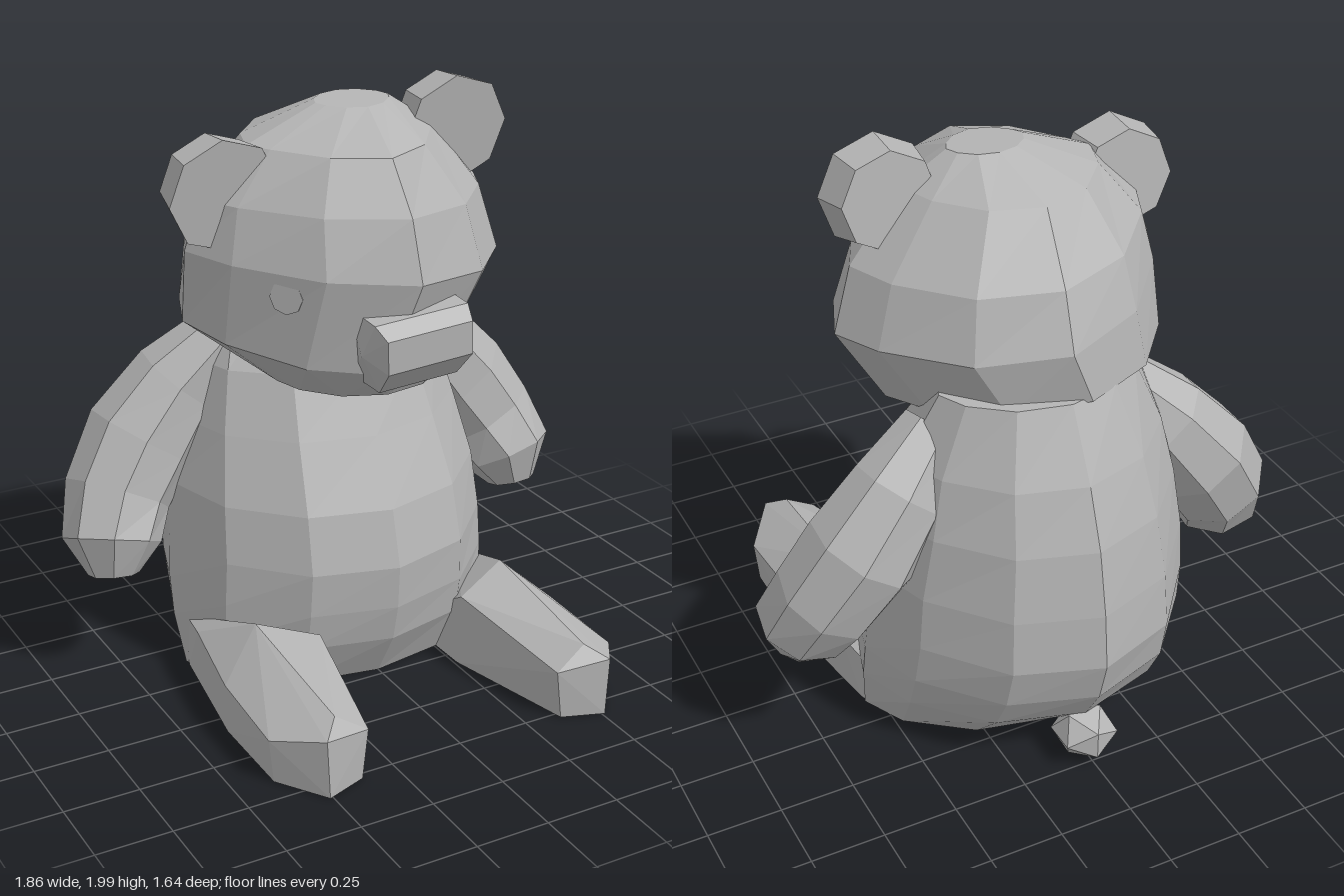
import * as THREE from 'three';
import { ConvexGeometry } from 'three/addons/geometries/ConvexGeometry.js';

const V = (x, y, z) => new THREE.Vector3(x, y, z);

// Skin a list of closed rings (counterclockwise about the travel direction) and cap both ends
function loft(rings) {
  const n = rings[0].length, pos = [];
  const tri = (a, b, c) => [a, b, c].forEach(p => pos.push(p.x, p.y, p.z));
  const mid = r => r.reduce((m, p) => m.addScaledVector(p, 1 / n), V(0, 0, 0));
  for (let i = 0; i < rings.length - 1; i++) {
    for (let j = 0; j < n; j++) {
      const k = (j + 1) % n, a = rings[i], b = rings[i + 1];
      tri(a[j], a[k], b[k]);
      tri(a[j], b[k], b[j]);
    }
  }
  const first = rings[0], last = rings[rings.length - 1], c0 = mid(first), c1 = mid(last);
  for (let j = 0; j < n; j++) {
    const k = (j + 1) % n;
    tri(c0, first[k], first[j]);
    tri(c1, last[j], last[k]);
  }
  const g = new THREE.BufferGeometry();
  g.setAttribute('position', new THREE.Float32BufferAttribute(pos, 3));
  g.computeVertexNormals();
  return g;
}

// Oval ring: front and back heights and depths, half width, front and back pointedness, centre x, side tilt
function oval(yFront, zFront, yBack, zBack, halfWidth, pFront, pBack, cx = 0, tilt = 0) {
  return Array.from({ length: 12 }, (_, j) => {
    const a = j * Math.PI / 6, c = Math.cos(a), x = halfWidth * Math.sin(a);
    const t = (Math.sign(c) * Math.pow(Math.abs(c), c > 0 ? pFront : pBack) + 1) / 2;
    return V(cx + x, yBack + (yFront - yBack) * t + tilt * x, zBack + (zFront - zBack) * t);
  });
}

// Eight-sided limb along a path of [x, y, z, radius]
function limb(path, side) {
  const c = path.map(p => V(p[0] * side, p[1], p[2]));
  return loft(c.map((p, i) => {
    const t = c[Math.min(i + 1, c.length - 1)].clone().sub(c[Math.max(i - 1, 0)]).normalize();
    const u = t.clone().cross(V(0, 0, 1)).normalize(), v = t.clone().cross(u);
    return Array.from({ length: 8 }, (_, j) => {
      const a = (j + 0.5) * Math.PI / 4;
      return p.clone().addScaledVector(u, path[i][3] * Math.cos(a)).addScaledVector(v, path[i][3] * Math.sin(a));
    });
  }));
}

export function createModel() {
  const model = new THREE.Group();
  model.name = 'teddyBear';
  const plush = new THREE.MeshStandardMaterial({ color: 0xb4b4b4, flatShading: true });
  plush.name = 'grey plush';
  const add = (name, geometry) => {
    const mesh = new THREE.Mesh(geometry, plush);
    mesh.name = name;
    model.add(mesh);
    return mesh;
  };

  // Torso: height, front depth, back depth, half width
  add('torso', loft([
    [0, 0.22, -0.51, 0.55],
    [0.17, 0.32, -0.7, 0.57],
    [0.3, 0.35, -0.78, 0.57],
    [0.45, 0.36, -0.82, 0.56],
    [0.64, 0.31, -0.8, 0.545],
    [0.86, 0.2, -0.755, 0.5],
    [1.06, 0.1, -0.68, 0.45],
    [1.29, -0.1, -0.56, 0.34],
  ].map(([y, f, b, w]) => oval(y, f, y, b, w, 1, 1.3))));

  // Head: wedge-shaped face and a ridge down the back, slightly lower on its left
  add('head', loft([
    oval(1.03, 0.27, 1.08, -0.1, 0.3, 1.3, 1.2, 0, -0.05),
    oval(1.15, 0.39, 1.28, -0.56, 0.48, 1.4, 1.5, -0.07, -0.1),
    oval(1.46, 0.48, 1.46, -0.56, 0.555, 1.5, 1.65, 0, -0.09),
    oval(1.66, 0.43, 1.64, -0.48, 0.5, 1.7, 1.5, -0.01, -0.05),
    oval(1.83, 0.34, 1.84, -0.32, 0.33, 2.1, 1.3, -0.03, 0),
    oval(1.93, 0.1, 1.94, -0.11, 0.13, 1.5, 1.2, 0.02, 0),
  ]));

  // Muzzle: half of its corners, mirrored, leaning to one side
  const muzzle = add('muzzle', new ConvexGeometry([
    [0.165, 0.11, 0.47], [0.15, 0.07, 0.52], [0.15, -0.04, 0.515], [0.19, 0, 0.42],
    [0.14, -0.13, 0.43], [0.165, 0.12, 0.3], [0.14, -0.13, 0.25],
  ].flatMap(([x, y, z]) => [V(x, y, z), V(-x, y, z)])));
  muzzle.position.set(0.01, 1.255, 0);
  muzzle.rotation.z = 0.06;

  // Tail
  const tail = add('tail', new THREE.IcosahedronGeometry(0.11, 0));
  tail.scale.y = 0.85;
  tail.position.set(0, 0.09, -0.69);

  for (const side of [1, -1]) {
    const label = side > 0 ? 'left' : 'right';

    // Ears, the left one higher
    const ear = add(label + 'Ear', new THREE.CylinderGeometry(0.185, 0.16, 0.13, 8).rotateX(Math.PI / 2));
    ear.position.set(-0.053 + side * 0.412, 1.765 + side * 0.052, 0.01);
    ear.rotation.set(0.13, 0, 0.08);

    // Eyes, almost flush with the face
    const eye = add(label + 'Eye', new THREE.CylinderGeometry(0.055, 0.055, 0.06, 8).rotateX(Math.PI / 2));
    eye.position.set(-0.015 + side * 0.325, 1.44 + side * 0.02, 0.255);
    eye.rotation.y = side * 0.85;

    // Arms, bending forward at the paws
    add(label + 'Arm', limb([
      [0.32, 1.13, -0.26, 0.11],
      [0.47, 0.97, -0.31, 0.16],
      [0.61, 0.79, -0.32, 0.19],
      [0.72, 0.62, -0.28, 0.18],
      [0.775, 0.49, -0.21, 0.165],
      [0.785, 0.38, -0.18, 0.085],
    ], side));

    // Legs, flat on the ground
    add(label + 'Leg', new ConvexGeometry([
      [0.5, 0, -0.25], [0.54, 0.17, -0.15], [0.55, 0, -0.12],
      [0.57, 0.19, 0], [0.47, 0.31, 0.24], [0.27, 0.25, 0.31], [0.26, 0, 0.31], [0.25, 0, -0.1],
      [0.62, 0, 0.33], [0.625, 0.17, 0.33],
      [0.62, 0, 0.66], [0.635, 0.15, 0.66], [0.46, 0.24, 0.76], [0.52, 0.2, 0.825], [0.51, 0, 0.825],
      [0.35, 0.17, 0.775], [0.37, 0, 0.775],
    ].map(([x, y, z]) => V(x * side, y, z))));
  }
  return model;
}
